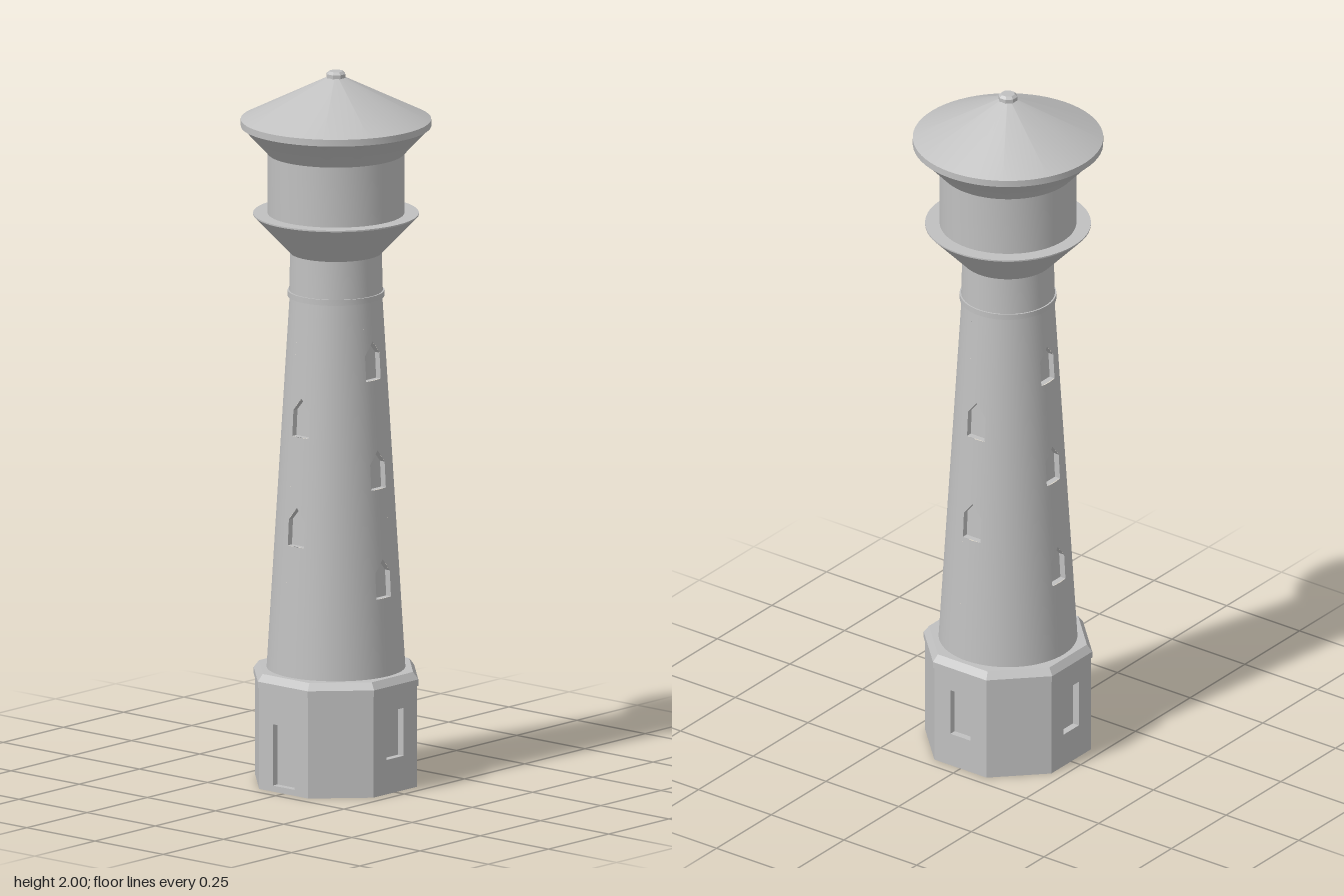
import * as THREE from 'three';
import { toCreasedNormals } from 'three/addons/utils/BufferGeometryUtils.js';

const stone = new THREE.MeshStandardMaterial({ color: 0xc0c0c0 });
stone.name = 'pale grey stone';

const SIDES = 64;
const BASE = 0.217, BASE_TOP = 0.285;            // octagon apothem and wall height
const SHAFT_Y0 = 0.32, SHAFT_Y1 = 1.375;
const WIN_W = 0.03;                              // half width of shaft windows
const SHOULDER = 0.072, APEX = 0.109;            // heights above the sill
const RECESS = 0.02;

const shaftRadius = y => THREE.MathUtils.mapLinear(y, SHAFT_Y0, SHAFT_Y1, 0.191, 0.127);

function addMesh(parent, name, geometry) {
  const mesh = new THREE.Mesh(geometry, stone);
  mesh.name = name;
  parent.add(mesh);
  return mesh;
}

// Turned part from a bottom-to-top profile of [radius, y]
function turned(parent, name, profile, sides = SIDES) {
  const points = profile.map(([r, y]) => new THREE.Vector2(r, y));
  const g = new THREE.LatheGeometry(points, sides, sides === 8 ? Math.PI / 8 : 0);
  return addMesh(parent, name, toCreasedNormals(g, 0.3));
}

// Octagonal part whose profile radii are measured to the flat sides
function octagonal(parent, name, profile) {
  const k = 1 / Math.cos(Math.PI / 8);
  return turned(parent, name, profile.map(([r, y]) => [r * k, y]), 8);
}

function quadTriangles(out, a, b, c, d) {
  for (const p of [a, b, c, a, c, d]) out.push(...p);
}

// Reveal walls and back plate of an opening, outline anticlockwise
function recess(parent, name, outline, frontZ, backZ) {
  const out = [];
  const front = outline.map(([x, y]) => [x, y, frontZ(x, y)]);
  const back = outline.map(([x, y]) => [x, y, backZ(x, y)]);
  outline.forEach((_, i) => {
    const j = (i + 1) % outline.length;
    quadTriangles(out, front[i], front[j], back[j], back[i]);
    if (i > 0 && j > 0) out.push(...back[0], ...back[i], ...back[j]);
  });
  const g = new THREE.BufferGeometry();
  g.setAttribute('position', new THREE.Float32BufferAttribute(out, 3));
  g.computeVertexNormals();
  return addMesh(parent, name, g);
}

// Octagonal ground floor: eight wall panels, a door and three windows
function buildBase() {
  const base = new THREE.Group();
  base.name = 'base';
  const half = BASE * Math.tan(Math.PI / 8);
  const rect = (w, y0, y1) => [[-w, y0], [w, y0], [w, y1], [-w, y1]];
  const toPoints = list => list.map(([x, y]) => new THREE.Vector2(x, y));
  for (let i = 0; i < 8; i++) {
    const side = new THREE.Group();
    side.name = 'baseSide';
    side.rotation.y = i * Math.PI / 4;
    const wall = new THREE.Shape(toPoints(rect(half, 0, BASE_TOP)));
    if (i % 2 === 0) {
      const opening = i === 0 ? rect(0.04, 0.017, 0.19) : rect(0.035, 0.097, 0.232);
      wall.holes.push(new THREE.Path(toPoints(opening)));
      recess(side, i === 0 ? 'door' : 'baseWindow', opening, () => BASE, () => BASE - RECESS);
    }
    addMesh(side, 'baseWall', new THREE.ShapeGeometry(wall).translate(0, 0, BASE));
    base.add(side);
  }
  octagonal(base, 'baseFloor', [[0, 0], [BASE, 0]].reverse()).scale.y = 1;
  base.children[base.children.length - 1].geometry = floorGeometry();
  octagonal(base, 'baseCornice', [[BASE - 0.01, BASE_TOP], [0.221, BASE_TOP], [0.221, 0.303], [0.207, 0.323], [0, 0.323]]);
  return base;
}

function floorGeometry() {
  return new THREE.CircleGeometry(BASE / Math.cos(Math.PI / 8), 8, Math.PI / 8).rotateX(Math.PI / 2);
}

// One quarter of the tapered shaft, with a column of pointed windows facing +z
function buildShaftQuarter(sills) {
  const quarter = new THREE.Group();
  quarter.name = 'shaftQuarter';
  const pos = [], nor = [];
  const slope = (shaftRadius(0) - shaftRadius(1));

  // s runs -1..1 across the window column, then 1..2 round to the next column
  const angle = (s, y) => {
    const a = Math.asin(WIN_W / shaftRadius(y));
    return s <= 1 ? Math.asin(s * WIN_W / shaftRadius(y)) : THREE.MathUtils.lerp(a, Math.PI / 2 - a, s - 1);
  };
  const patch = (s0, s1, bottom, top) => {
    const corners = [[s0, bottom(s0)], [s1, bottom(s1)], [s1, top(s1)], [s0, top(s0)]];
    for (const i of [0, 1, 2, 0, 2, 3]) {
      const [s, y] = corners[i];
      const t = angle(s, y), r = shaftRadius(y);
      pos.push(r * Math.sin(t), y, r * Math.cos(t));
      nor.push(...new THREE.Vector3(Math.sin(t), slope, Math.cos(t)).normalize().toArray());
    }
  };

  // Wall strips between the openings
  for (let i = 0; i < 4; i++) {
    let bottom = () => SHAFT_Y0;
    for (const sill of sills) {
      patch(-1 + i / 2, -0.5 + i / 2, bottom, () => sill);
      bottom = s => sill + SHOULDER + (1 - Math.abs(s)) * (APEX - SHOULDER);
    }
    patch(-1 + i / 2, -0.5 + i / 2, bottom, () => SHAFT_Y1);
  }
  // Plain wall round to the next column
  const rows = 6, cols = 12, rowY = k => THREE.MathUtils.lerp(SHAFT_Y0, SHAFT_Y1, k / rows);
  for (let i = 0; i < cols; i++) {
    for (let k = 0; k < rows; k++) patch(1 + i / cols, 1 + (i + 1) / cols, () => rowY(k), () => rowY(k + 1));
  }
  const g = new THREE.BufferGeometry();
  g.setAttribute('position', new THREE.Float32BufferAttribute(pos, 3));
  g.setAttribute('normal', new THREE.Float32BufferAttribute(nor, 3));
  addMesh(quarter, 'shaftWall', g);

  for (const y of sills) {
    const outline = [[-WIN_W, y], [WIN_W, y], [WIN_W, y + SHOULDER], [0, y + APEX], [-WIN_W, y + SHOULDER]];
    recess(quarter, 'shaftWindow', outline,
      (x, h) => Math.sqrt(shaftRadius(h) ** 2 - x * x), (x, h) => shaftRadius(h) - RECESS);
  }
  return quarter;
}

export function createModel() {
  const tower = new THREE.Group();
  tower.name = 'tower';
  tower.add(buildBase());

  // Shaft: two windows front and back, three on each side
  for (let i = 0; i < 4; i++) {
    const quarter = buildShaftQuarter(i % 2 === 0 ? [0.687, 0.992] : [0.541, 0.845, 1.149]);
    quarter.rotation.y = i * Math.PI / 2;
    tower.add(quarter);
  }

  // Ring and neck under the gallery
  turned(tower, 'shaftRing', [[0.12, 1.368], [0.133, 1.368], [0.133, 1.384], [0.12, 1.384]]);
  turned(tower, 'neck', [[0.129, 1.375], [0.126, 1.492]]);

  // Flared gallery with a flat walkway
  turned(tower, 'gallery', [[0.126, 1.49], [0.228, 1.597], [0.228, 1.601], [0.18, 1.601]]);

  // Drum and roof
  turned(tower, 'drum', [[0.188, 1.6], [0.188, 1.77]]);
  turned(tower, 'eaves', [[0.188, 1.77], [0.253, 1.84], [0.262, 1.846], [0.262, 1.865]]);
  turned(tower, 'roof', [[0.262, 1.865], [0.02, 1.985]]);
  octagonal(tower, 'finial', [[0.02, 1.972], [0.025, 1.976], [0.025, 1.993], [0.018, 2], [0, 2]]);
  return tower;
}
